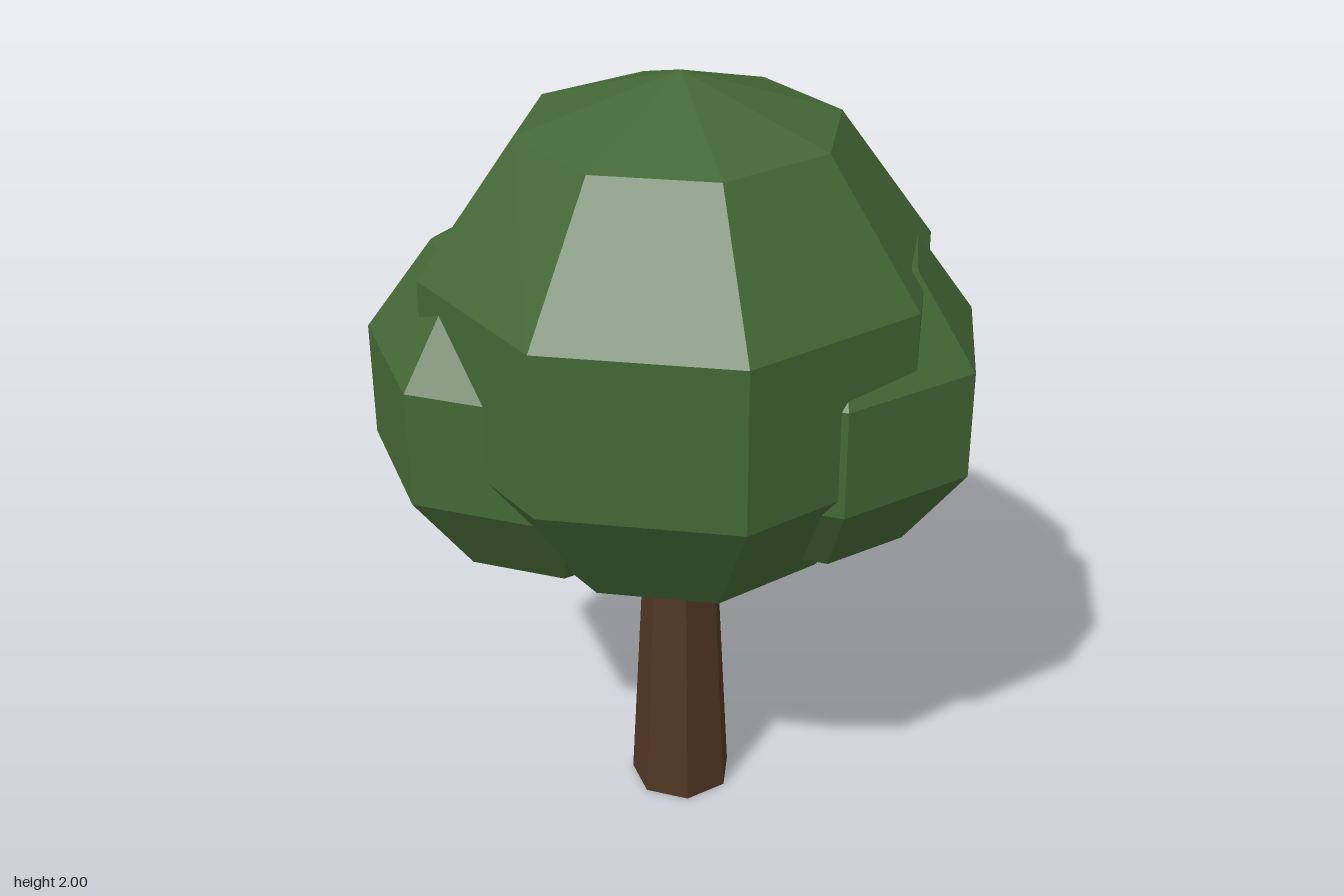
import * as THREE from 'three';

const foliage = new THREE.MeshStandardMaterial({ color: 0x446836, flatShading: true });
foliage.name = 'leafGreen';
const bark = new THREE.MeshStandardMaterial({ color: 0x503624, flatShading: true });
bark.name = 'barkBrown';

// Faceted ball of leaves, turned so that one corner points to +x
function leafBall(name, radius, sides, x, y, z) {
  const geometry = new THREE.SphereGeometry(radius, sides, 5);
  geometry.rotateY(Math.PI);
  const mesh = new THREE.Mesh(geometry, foliage);
  mesh.name = name;
  mesh.position.set(x, y, z);
  return mesh;
}

export function createModel() {
  const tree = new THREE.Group();
  tree.name = 'tree';

  // Tapered seven-sided trunk, running up into the crown
  const height = 1;
  const trunkGeometry = new THREE.CylinderGeometry(0.083, 0.135, height, 7);
  trunkGeometry.rotateY(Math.PI / 2);
  const trunk = new THREE.Mesh(trunkGeometry, bark);
  trunk.name = 'trunk';
  trunk.position.set(-0.018, height / 2, 0);
  tree.add(trunk);

  // Main crown with two smaller clumps growing out of it
  tree.add(
    leafBall('mainCrown', 0.665, 8, -0.018, 1.335, 0),
    leafBall('frontClump', 0.478, 7, -0.3, 1.18, 0.155),
    leafBall('backClump', 0.445, 7, 0.282, 1.222, -0.13),
  );
  return tree;
}
